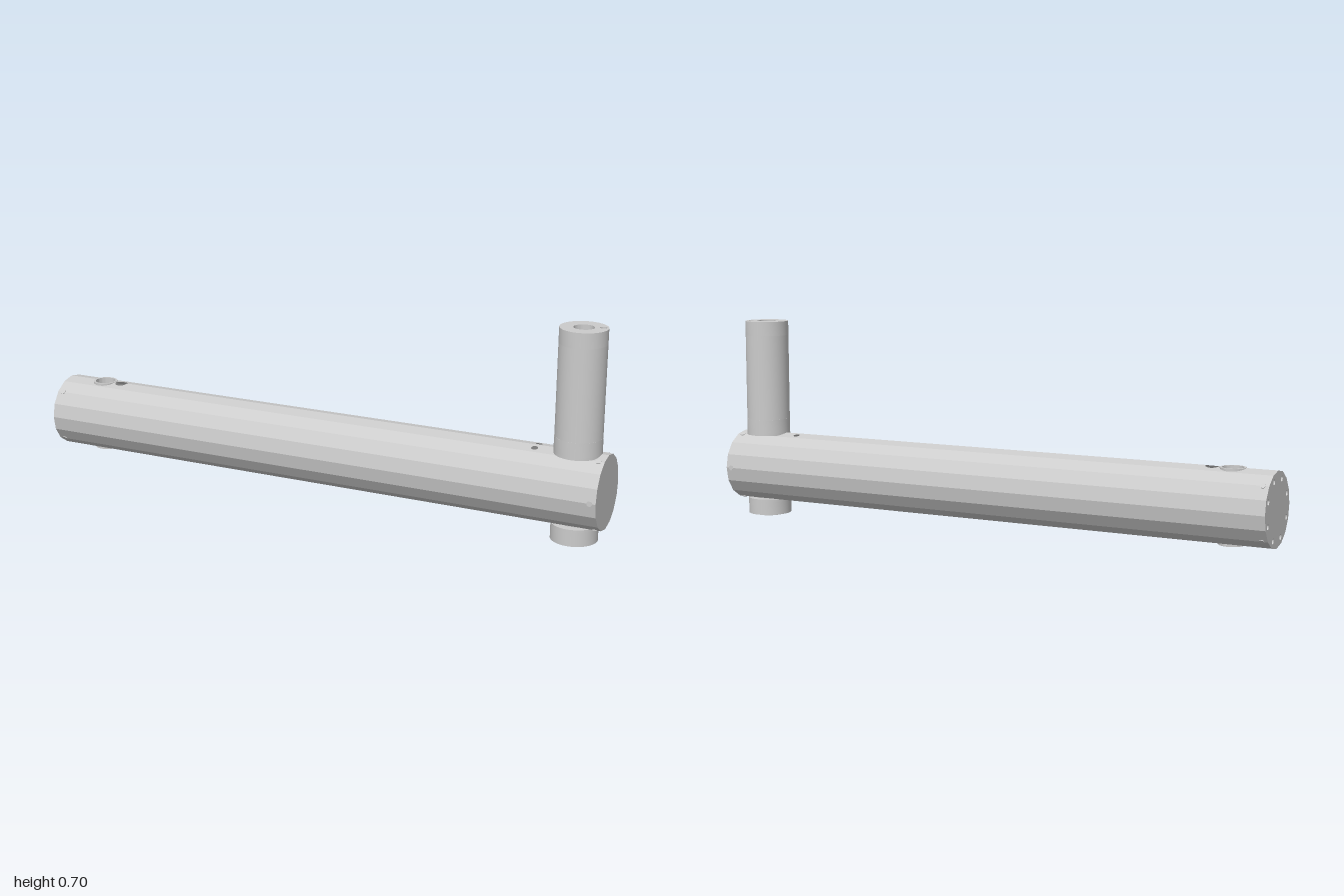
import * as THREE from 'three';
import { toCreasedNormals } from 'three/addons/utils/BufferGeometryUtils.js';

const R = 0.123, CY = 0.178, SIDES = 16, STEP = (2 * Math.PI) / SIDES;
const POST_X = 0.9, BUSH_X = -0.855;

export function createModel() {
  const model = new THREE.Group();
  const grey = new THREE.MeshStandardMaterial({ color: 0xcccccc });
  const facet = new THREE.MeshStandardMaterial({ color: 0xcccccc, flatShading: true, side: THREE.DoubleSide });

  const add = (name, geometry, material = grey) => {
    const mesh = new THREE.Mesh(geometry, material);
    mesh.name = name;
    model.add(mesh);
    return mesh;
  };
  const hole = (x, y, r) => new THREE.Path().absarc(x, y, r, 0, Math.PI * 2, true);

  // Upright ring with a bore and optional extra holes [x, z, r]
  const ring = (name, x, r, bore, y0, y1, extra = []) => {
    const shape = new THREE.Shape().absarc(0, 0, r, 0, Math.PI * 2);
    shape.holes.push(hole(0, 0, bore));
    extra.forEach(([hx, hz, hr]) => shape.holes.push(hole(hx, -hz, hr)));
    const g = new THREE.ExtrudeGeometry(shape, { depth: y1 - y0, bevelEnabled: false, curveSegments: 18 });
    g.rotateX(-Math.PI / 2);
    add(name, toCreasedNormals(g, 0.6)).position.set(x, y0, 0);
  };

  // Faceted sides of the main tube, front and back
  for (const [name, start] of [['tubeFront', -3 * STEP], ['tubeBack', Math.PI - 3 * STEP]]) {
    const g = new THREE.CylinderGeometry(R, R, 2, 6, 1, true, start, 6 * STEP);
    g.rotateZ(-Math.PI / 2);
    add(name, g, facet).position.y = CY;
  }

  // Top and bottom facets, cut by the cross holes along the ridge
  const strip = new THREE.Shape();
  const width = R * Math.sin(STEP);
  strip.moveTo(-1, 0);
  for (const [x, r] of [[BUSH_X, 0.042], [-0.787, 0.022], [POST_X, 0.036]]) {
    strip.lineTo(x - r, 0);
    strip.absarc(x, 0, r, Math.PI, 0, true);
  }
  strip.lineTo(1, 0);
  strip.lineTo(1, width);
  strip.lineTo(-1, width);
  strip.closePath();
  strip.holes.push(hole(0.765, 0.022, 0.011));
  for (const up of [1, -1]) {
    for (const side of [1, -1]) {
      const g = new THREE.ShapeGeometry(strip, 12);
      const p = g.attributes.position;
      for (let i = 0; i < p.count; i++) {
        const z = p.getY(i);
        p.setXYZ(i, p.getX(i), CY + up * (R - z * Math.tan(STEP / 2)), side * z);
      }
      // Keep the outside of every strip facing outward
      if (up * side > 0) g.index.array.reverse();
      g.computeVertexNormals();
      add(up > 0 ? 'tubeTop' : 'tubeBottom', g, facet);
    }
  }

  // End plates; the left-hand one carries a circle of screw holes
  const endPlate = (name, x, holes) => {
    const shape = new THREE.Shape();
    for (let i = 0; i < SIDES; i++) {
      const a = i * STEP;
      shape[i ? 'lineTo' : 'moveTo'](R * Math.cos(a), R * Math.sin(a));
    }
    for (let i = 0; i < holes; i++) {
      const a = ((i + 0.5) / holes) * Math.PI * 2;
      shape.holes.push(hole(0.1 * Math.cos(a), 0.1 * Math.sin(a), 0.009));
    }
    const g = new THREE.ExtrudeGeometry(shape, { depth: 0.03, bevelEnabled: false });
    g.rotateY(Math.PI / 2);
    add(name, g).position.set(x, CY, 0);
  };
  endPlate('pinEndPlate', -1, 8);
  endPlate('postEndPlate', 0.97, 0);

  // Radial screws near both ends
  const screw = (x, a) => {
    const m = add('radialScrew', new THREE.CylinderGeometry(0.009, 0.009, 0.02, 12));
    m.position.set(x, CY + Math.sin(a) * (R - 0.009), Math.cos(a) * (R - 0.009));
    m.rotation.x = Math.PI / 2 - a;
  };
  for (const k of [1, 3, 5, 7]) screw(-0.98, (k * Math.PI) / 4);
  for (const k of [0, 3, 5, 8, 11, 13]) screw(0.98, k * STEP);

  // Through bushing at the far end
  ring('bushing', BUSH_X, 0.042, 0.035, CY - R, CY + R);

  // Upright post, its base collar and the inner sleeve
  ring('postTop', POST_X, 0.076, 0.033, 0.65, 0.7, [[0.056, -0.018, 0.011]]);
  ring('post', POST_X, 0.076, 0.033, 0.35, 0.65);
  ring('postCollar', POST_X, 0.0765, 0.033, 0.302, 0.35);
  ring('postSkirt', POST_X, 0.0765, 0.05, 0.293, 0.302);
  ring('sleeve', POST_X, 0.036, 0.032, 0.03, 0.34);

  // Lower collar with a dowel hole, and its end washer
  ring('lowerSkirt', POST_X, 0.076, 0.05, 0.054, 0.063);
  ring('lowerCollar', POST_X, 0.076, 0.033, 0.007, 0.054, [[0.058, -0.018, 0.01]]);
  ring('endWasher', POST_X, 0.046, 0.033, 0, 0.007);

  return model;
}
